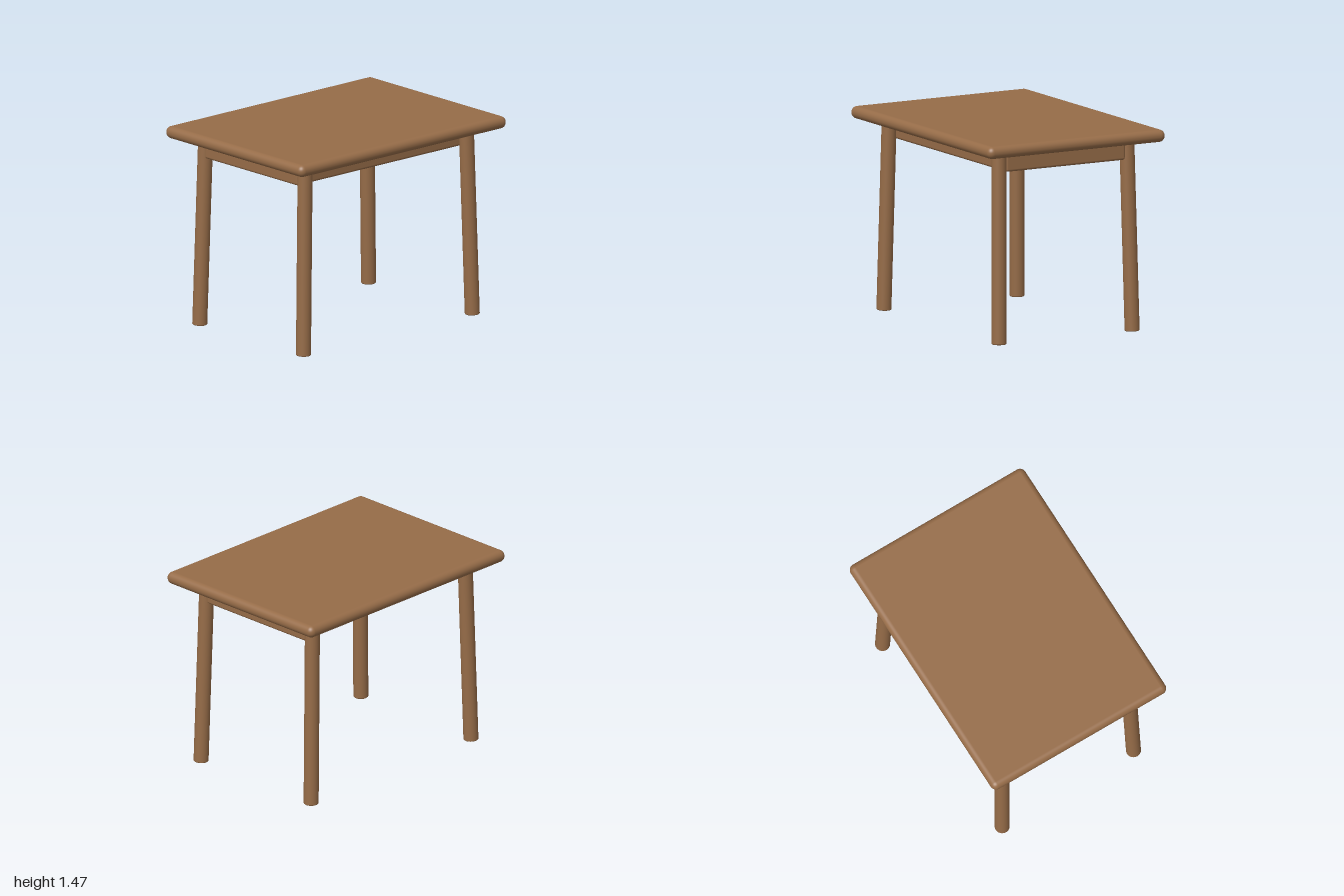
import * as THREE from 'three';
import { RoundedBoxGeometry } from 'three/addons/geometries/RoundedBoxGeometry.js';
import { toCreasedNormals } from 'three/addons/utils/BufferGeometryUtils.js';

export function createModel() {
  const group = new THREE.Group();
  group.name = 'table';
  const wood = new THREE.MeshStandardMaterial({ color: 0x966c48 });
  wood.name = 'brown wood';

  const add = (name, geometry, y) => {
    const mesh = new THREE.Mesh(geometry, wood);
    mesh.name = name;
    mesh.position.y = y;
    group.add(mesh);
    return mesh;
  };

  // Top with a fully rounded rim
  add('tabletop', new RoundedBoxGeometry(2, 0.09, 1.47, 6, 0.044), 1.43);

  // Solid apron block under the top
  add('apron', new RoundedBoxGeometry(1.65, 0.17, 0.99, 4, 0.018), 1.335);

  // Round legs with a small bevel at the foot, splayed outwards
  const radius = 0.054;
  const profile = [[0, 0], [radius - 0.005, 0], [radius, 0.005], [radius, 1.41], [0, 1.41]]
    .map(([x, y]) => new THREE.Vector2(x, y));
  const legGeometry = toCreasedNormals(new THREE.LatheGeometry(profile, 32), 0.5);
  const up = new THREE.Vector3(0, 1, 0);
  for (const sx of [1, -1]) {
    for (const sz of [1, -1]) {
      const foot = new THREE.Vector3(sx * 0.817, 0.002, sz * 0.553);
      const head = new THREE.Vector3(sx * 0.78, 1.4, sz * 0.53);
      const name = (sz > 0 ? 'front' : 'back') + (sx > 0 ? 'Left' : 'Right') + 'Leg';
      const leg = add(name, legGeometry, 0);
      leg.position.copy(foot);
      leg.quaternion.setFromUnitVectors(up, head.sub(foot).normalize());
    }
  }
  return group;
}
